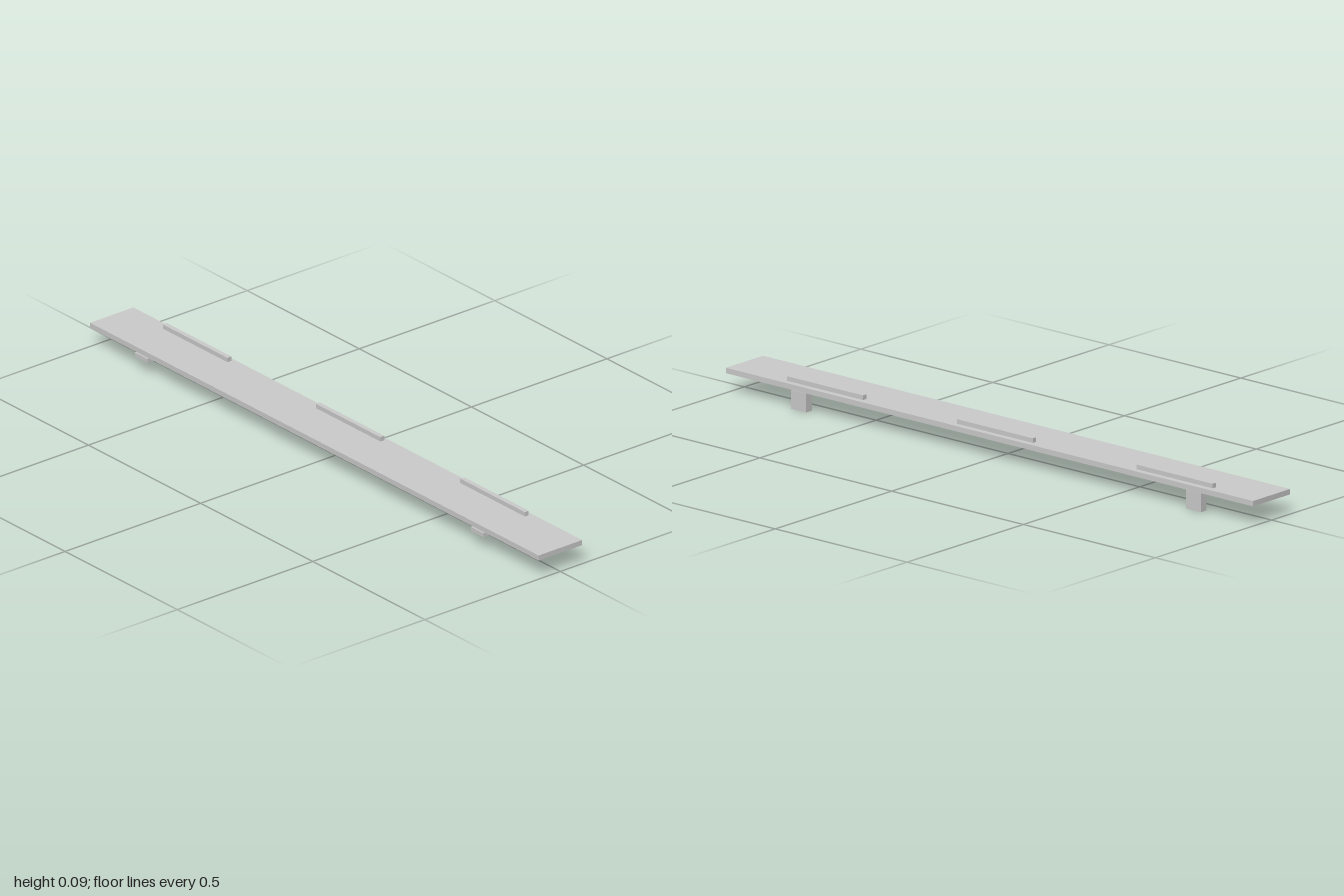
import * as THREE from 'three';

const material = new THREE.MeshStandardMaterial({ color: 0xcccccc, flatShading: true });

// Box given by its min and max corners
function box(name, [x0, y0, z0], [x1, y1, z1]) {
  const mesh = new THREE.Mesh(new THREE.BoxGeometry(x1 - x0, y1 - y0, z1 - z0), material);
  mesh.position.set((x0 + x1) / 2, (y0 + y1) / 2, (z0 + z1) / 2);
  mesh.name = name;
  return mesh;
}

export function createModel() {
  const group = new THREE.Group();
  group.name = 'shelf';

  // Long plank
  group.add(box('plank', [-0.08, 0.0585, -1], [0.08, 0.0745, 1]));

  // Three thin rails along one edge of the plank
  for (const z of [0.635, -0.009, -0.691]) {
    group.add(box('rail', [0.052, 0.0765, z - 0.144], [0.0665, 0.09, z + 0.144]));
  }

  // L-shaped brackets: an arm under the plank and a leg downwards
  const profile = new THREE.Shape([
    [-0.082, 0.056], [-0.082, 0.043], [0.05, 0.043],
    [0.05, 0], [0.075, 0], [0.075, 0.056],
  ].map(([x, y]) => new THREE.Vector2(x, y)));
  const depth = 0.056;
  const bracketGeometry = new THREE.ExtrudeGeometry(profile, { depth, bevelEnabled: false });
  for (const z of [0.728, -0.77]) {
    const bracket = new THREE.Mesh(bracketGeometry, material);
    bracket.position.z = z - depth / 2;
    bracket.name = 'bracket';
    group.add(bracket);
  }

  return group;
}
